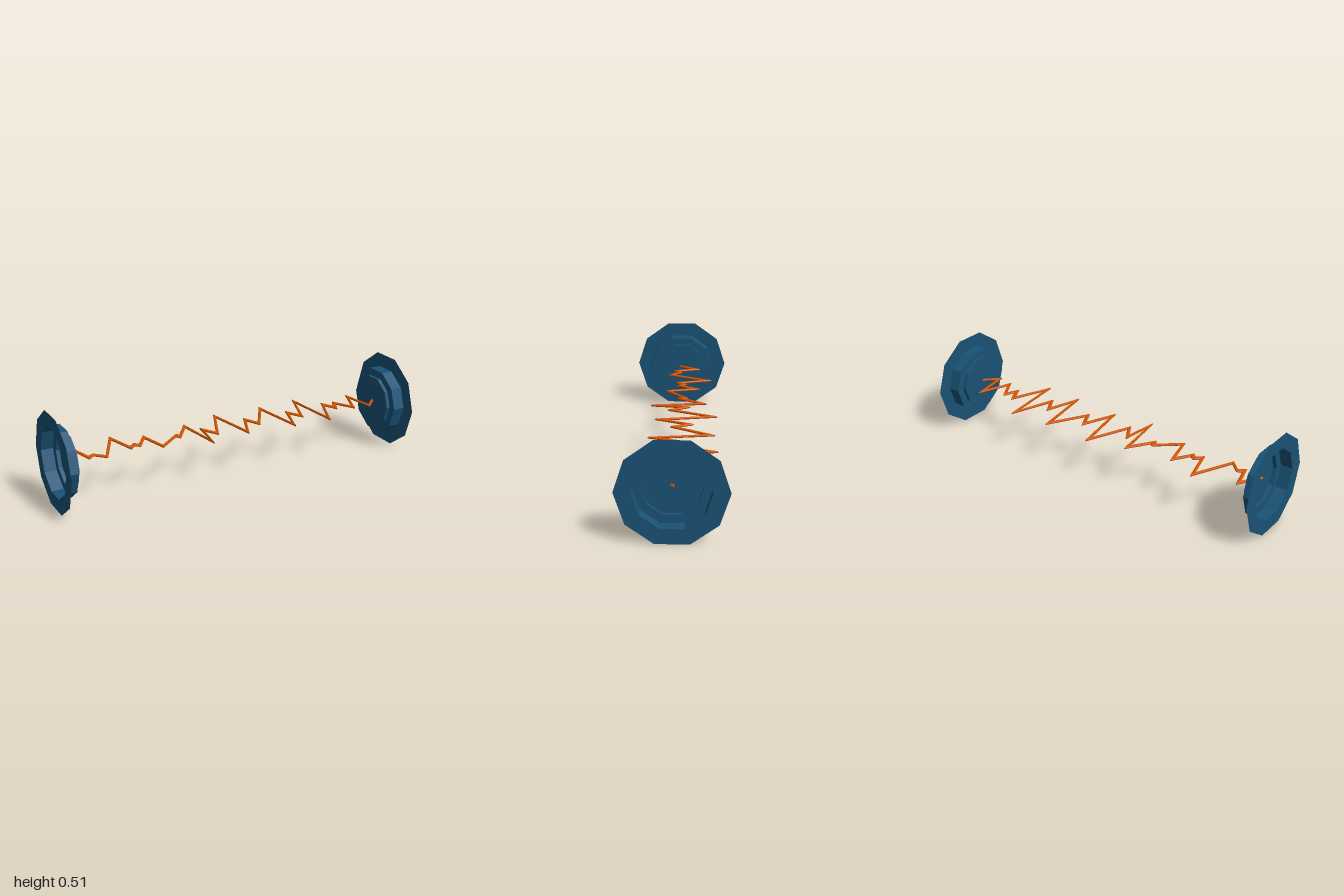
import * as THREE from 'three';

const AXIS_Y = 0.254;
const WIRE_Y = 0.257;
const WIRE_R = 0.007;

// Visible corners of the zigzag, as [x, z]
const CORNERS = [
  [-0.925, 0.017], [-0.85, -0.115], [-0.825, 0.045], [-0.79, -0.01], [-0.735, 0.07], [-0.63, -0.185],
  [-0.59, 0.025], [-0.553, -0.04], [-0.532, 0.015], [-0.467, -0.117], [-0.436, 0.08],
  [-0.307, -0.05], [-0.302, 0.01], [-0.21, -0.157], [-0.179, 0.155], [-0.157, -0.07],
  [-0.104, 0.058], [0, -0.215], [0.045, 0.122], [0.12, -0.09], [0.158, 0.037],
  [0.281, -0.2], [0.317, 0.147], [0.377, -0.073], [0.425, 0.05], [0.508, -0.215],
  [0.532, 0.158], [0.623, -0.09], [0.66, 0.03], [0.692, -0.078], [0.755, 0.067],
  [0.822, -0.137], [0.842, 0.085], [0.925, -0.006],
];

// Mitred round wire swept along the corners in a horizontal plane
function zigzagGeometry(corners, radius, sides) {
  const pts = corners.map(([x, z]) => new THREE.Vector2(x, z));
  const last = pts.length - 1;
  const positions = [], index = [];
  pts.forEach((p, i) => {
    const a = p.clone().sub(pts[Math.max(i - 1, 0)]).normalize();
    const b = pts[Math.min(i + 1, last)].clone().sub(p).normalize();
    const dir = a.clone().add(b).normalize();
    const along = i === 0 ? b : a;
    const side = new THREE.Vector2(-dir.y, dir.x);
    const mitre = radius * Math.min(1 / Math.abs(dir.dot(along)), 3.5);
    const centre = p.clone();
    // The corner is the outer tip, so the centre line sits one mitre inside it
    if (i > 0 && i < last) {
      const outward = Math.sign(a.clone().sub(b).dot(side));
      centre.addScaledVector(side, -outward * mitre);
    }
    for (let k = 0; k < sides; k++) {
      const t = (k / sides) * Math.PI * 2;
      positions.push(
        centre.x + side.x * mitre * Math.cos(t),
        radius * Math.sin(t),
        centre.y + side.y * mitre * Math.cos(t));
    }
  });
  for (let i = 0; i < last; i++) {
    for (let k = 0; k < sides; k++) {
      const n = (k + 1) % sides;
      const a = i * sides + k, b = i * sides + n;
      index.push(a, b, a + sides, b, b + sides, a + sides);
    }
  }
  // End caps
  for (let k = 1; k < sides - 1; k++) {
    const e = last * sides;
    index.push(0, k + 1, k, e, e + k, e + k + 1);
  }
  const geometry = new THREE.BufferGeometry();
  geometry.setAttribute('position', new THREE.Float32BufferAttribute(positions, 3));
  geometry.setIndex(index);
  geometry.computeVertexNormals();
  return geometry;
}

export function createModel() {
  const group = new THREE.Group();
  const blue = new THREE.MeshStandardMaterial({ color: 0x1a5276, flatShading: true, side: THREE.DoubleSide });
  const orange = new THREE.MeshStandardMaterial({ color: 0xd35400, flatShading: true, side: THREE.DoubleSide });

  // Stepped ten-sided cup with a thin flange, open to the outside
  const profile = [
    [0, 0.915], [0.145, 0.915], [0.145, 0.935], [0.187, 0.935], [0.187, 1], [0.267, 1],
  ].map(([r, h]) => new THREE.Vector2(r, h));
  const cupGeometry = new THREE.LatheGeometry(profile, 10);

  for (const [name, s] of [['leftEndCup', 1], ['rightEndCup', -1]]) {
    const cup = new THREE.Mesh(cupGeometry, blue);
    cup.name = name;
    cup.rotation.z = -s * Math.PI / 2;
    cup.position.y = AXIS_Y;
    group.add(cup);
  }

  // Jagged wire joining the two cups
  const wire = new THREE.Mesh(zigzagGeometry(CORNERS, WIRE_R, 8), orange);
  wire.name = 'zigzagWire';
  wire.position.y = WIRE_Y;
  group.add(wire);

  return group;
}
